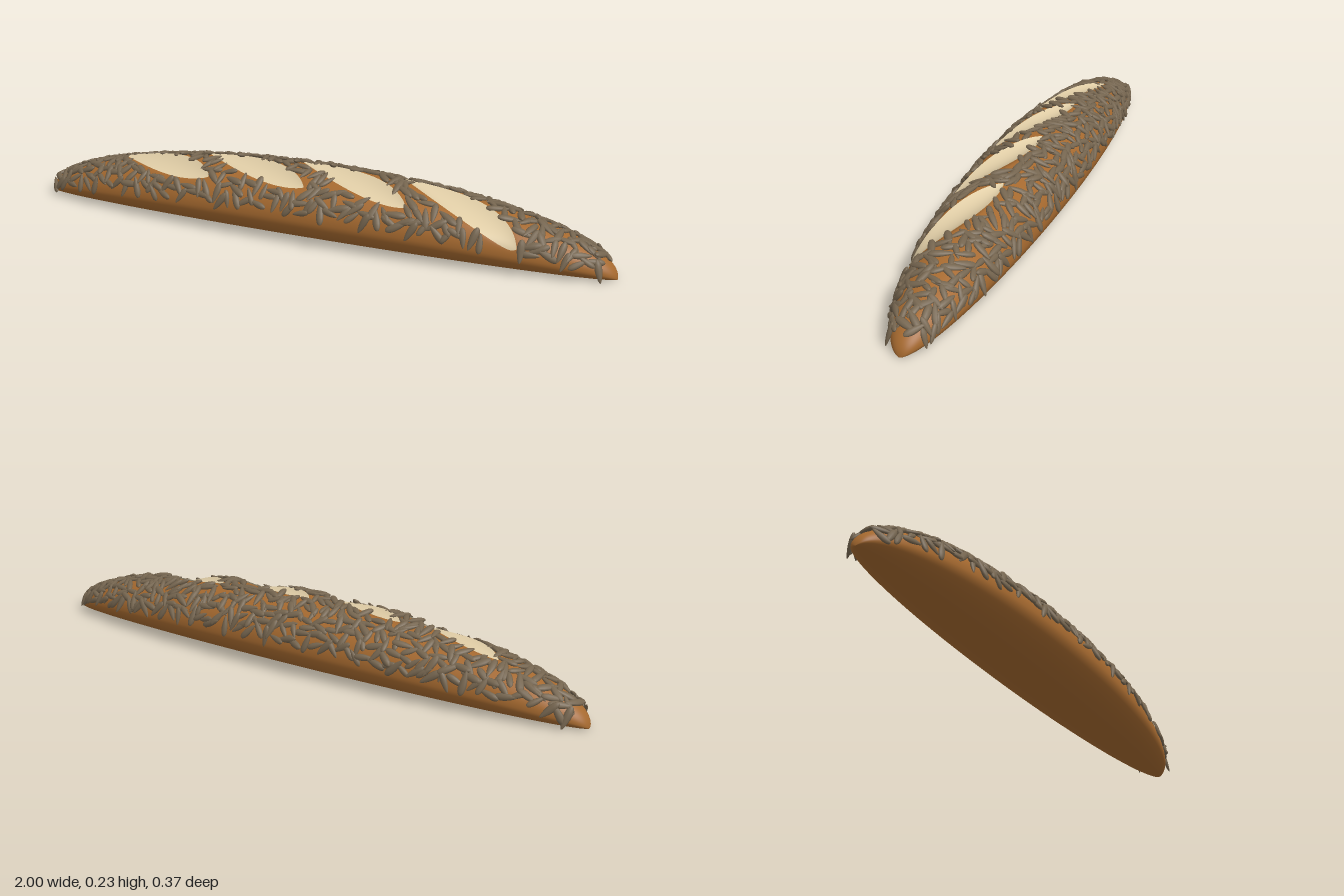
import * as THREE from 'three';
import { mergeGeometries } from 'three/addons/utils/BufferGeometryUtils.js';

const HALF_WIDTH = 0.163, BELLY = 0.085, CROWN = 0.13;
const SLASH = { halfLength: 0.215, halfWidth: 0.05, depth: 0.018 };
const slashes = [[-0.51, 0.075], [-0.17, 0.056], [0.17, 0.032], [0.52, 0.008]];
const axis = new THREE.Vector2(0.2, 0.054).normalize();

const spine = x => -0.06 * x;
const taper = x => Math.sqrt(Math.max(0, 1 - x * x));
const leaf = u => SLASH.halfWidth * Math.pow(Math.max(0, 1 - u * u), 0.8);

// Seeded random numbers
let seed = 7;
function random() {
  seed = (seed * 1664525 + 1013904223) % 4294967296;
  return seed / 4294967296;
}

// Depth of the scored cuts at a point seen from above
function dent(x, z) {
  let depth = 0;
  for (const [cx, cz] of slashes) {
    const u = ((x - cx) * axis.x + (z - cz) * axis.y) / SLASH.halfLength;
    if (Math.abs(u) >= 1) continue;
    const v = ((z - cz) * axis.x - (x - cx) * axis.y) / leaf(u);
    if (Math.abs(v) < 1) depth = Math.max(depth, SLASH.depth * (1 - u * u) * (1 - v * v));
  }
  return depth;
}

// True on or close to a cut
function nearSlash(x, z) {
  return slashes.some(([cx, cz]) => {
    const a = (x - cx) * axis.x + (z - cz) * axis.y;
    const b = (z - cz) * axis.x - (x - cx) * axis.y;
    const u = a / (SLASH.halfLength + 0.01);
    return Math.abs(u) < 1 && Math.abs(b) < leaf(u) + 0.011;
  });
}

// Loaf surface: x along the loaf, t around it
function loafPoint(x, t, cut = true) {
  const s = taper(x), up = Math.sin(t);
  const z = spine(x) + HALF_WIDTH * s * Math.cos(t);
  let y = s * Math.max(0, BELLY + (up > 0 ? CROWN : 0.092) * up);
  if (cut && up > 0) y -= dent(x, z);
  return new THREE.Vector3(x, y, z);
}

// Smooth grid surface from a function of two 0..1 parameters
function grid(na, nb, fn) {
  const positions = [], index = [];
  for (let i = 0; i <= na; i++) {
    for (let j = 0; j <= nb; j++) {
      positions.push(...fn(i / na, j / nb).toArray());
      if (i === na || j === nb) continue;
      const p = i * (nb + 1) + j, q = p + nb + 1;
      index.push(p, q, p + 1, q, q + 1, p + 1);
    }
  }
  const g = new THREE.BufferGeometry();
  g.setAttribute('position', new THREE.Float32BufferAttribute(positions, 3));
  g.setIndex(index);
  g.computeVertexNormals();
  return g;
}

// Pale leaf-shaped patch that lines one cut
function crumbPatch([cx, cz]) {
  return grid(12, 32, (a, b) => {
    const u = -Math.cos(b * Math.PI), w = (a * 2 - 1) * leaf(u);
    const x = cx + u * SLASH.halfLength * axis.x - w * axis.y;
    const z = cz + u * SLASH.halfLength * axis.y + w * axis.x;
    const s = taper(x), k = (z - spine(x)) / (HALF_WIDTH * s);
    const y = s * (BELLY + CROWN * Math.sqrt(Math.max(0, 1 - k * k)));
    return new THREE.Vector3(x, y - dent(x, z) + 0.004, z);
  });
}

// Flat teardrop seed lying along x
function seedGeometry() {
  const g = new THREE.SphereGeometry(1, 8, 8).rotateZ(Math.PI / 2);
  const p = g.attributes.position;
  for (let i = 0; i < p.count; i++) {
    const x = p.getX(i), k = 1 - 0.35 * x;
    p.setXYZ(i, x * 0.033, p.getY(i) * 0.007 * k, p.getZ(i) * 0.0105 * k);
  }
  g.computeVertexNormals();
  return g;
}

// Seeds scattered over the upper crust, turned at random on the surface
function scatterSeeds() {
  const base = seedGeometry(), placed = [], parts = [];
  for (let n = 0; n < 9000 && placed.length < 520; n++) {
    const x = (random() * 2 - 1) * 0.955;
    const t = THREE.MathUtils.lerp(0.2, Math.PI - 0.2, random());
    const p = loafPoint(x, t, false);
    if (nearSlash(p.x, p.z) || placed.some(q => q.distanceTo(p) < 0.023)) continue;
    placed.push(p);
    const along = loafPoint(x + 0.004, t, false).sub(p);
    const around = loafPoint(x, t + 0.02, false).sub(p);
    const normal = along.clone().cross(around).normalize();
    const turn = random() * Math.PI * 2;
    const dir = along.normalize().applyAxisAngle(normal, turn);
    dir.addScaledVector(normal, (random() - 0.5) * 0.3).normalize();
    const side = dir.clone().cross(normal).normalize();
    const up = side.clone().cross(dir);
    const size = 0.85 + random() * 0.3;
    const m = new THREE.Matrix4().makeBasis(dir, up, side);
    m.scale(new THREE.Vector3(size, size, size));
    m.setPosition(p.clone().addScaledVector(normal, 0.004));
    parts.push(base.clone().applyMatrix4(m));
  }
  return mergeGeometries(parts);
}

export function createModel() {
  seed = 7;
  const crust = new THREE.MeshStandardMaterial({ color: 0xa5692f });
  crust.name = 'crust brown';
  const crumb = new THREE.MeshStandardMaterial({ color: 0xe0cda6, side: THREE.DoubleSide });
  crumb.name = 'crumb cream';
  const husk = new THREE.MeshStandardMaterial({ color: 0x75654f });
  husk.name = 'seed grey brown';

  const model = new THREE.Group();
  model.name = 'seededLoaf';
  const add = (name, geometry, material) => {
    const mesh = new THREE.Mesh(geometry, material);
    mesh.name = name;
    model.add(mesh);
  };

  // Loaf body, with the seam hidden underneath
  add('loaf', grid(220, 96, (a, b) =>
    loafPoint(-Math.cos(a * Math.PI), (b * 2 - 0.5) * Math.PI)), crust);
  // Scored cuts
  slashes.forEach((s, i) => add(`slash${i + 1}`, crumbPatch(s), crumb));
  // Seed topping
  add('seeds', scatterSeeds(), husk);
  return model;
}
